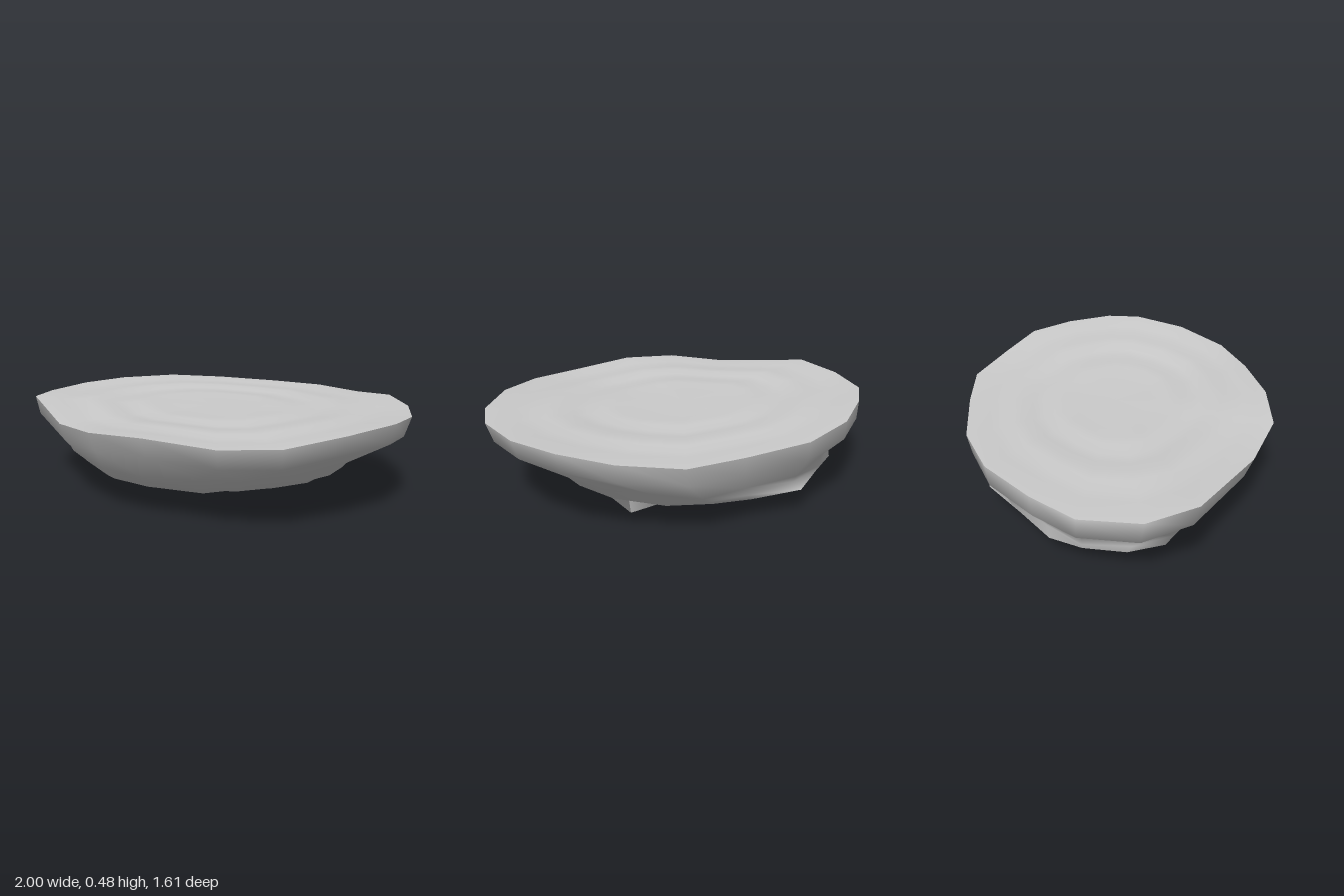
import * as THREE from 'three';
import { toCreasedNormals } from 'three/addons/utils/BufferGeometryUtils.js';

// Irregular rim outline: x, height, z, running round from the back
const RIM = [
  [0.18, 0.43, -0.81], [0.47, 0.44, -0.72], [0.71, 0.47, -0.61], [0.89, 0.47, -0.42], [1, 0.475, -0.19],
  [1, 0.48, 0], [0.9, 0.47, 0.28], [0.73, 0.44, 0.53], [0.49, 0.43, 0.67], [0.16, 0.45, 0.77],
  [-0.13, 0.435, 0.8], [-0.43, 0.41, 0.7], [-0.87, 0.45, 0.47], [-0.99, 0.43, 0.25], [-1, 0.43, -0.03],
  [-0.89, 0.44, -0.25], [-0.7, 0.44, -0.5], [-0.44, 0.43, -0.67], [-0.1, 0.43, -0.76],
].map((p) => new THREE.Vector3(...p));

// Lowest tips of the broken underside
const TIPS = [
  [-0.18, 0, -0.35], [-0.3, 0.01, 0.19], [-0.32, 0.012, 0.12], [-0.06, 0.01, -0.05], [-0.6, 0.03, 0.1],
  [0.36, 0.04, -0.43], [-0.4, 0.08, 0.37], [0.1, 0.04, -0.18], [0.2, 0.04, 0.12],
].map((p) => new THREE.Vector3(...p));

let seed = 7;
function jitter(amount) {
  seed = (seed * 16807) % 2147483647;
  return (seed / 2147483647 - 0.5) * 2 * amount;
}

// Copy of the rim scaled by sx and sz and moved by dx and dz; height(point) gives y
function ring(sx, sz, dx, dz, height, rough = 0) {
  return RIM.map((p) => {
    const r = 1 + jitter(rough);
    return new THREE.Vector3(p.x * sx * r + dx, height(p), p.z * sz * r + dz);
  });
}

// Closed skin through a list of rings
function loft(rows) {
  const n = RIM.length, index = [];
  for (let r = 0; r < rows.length - 1; r++) {
    for (let i = 0; i < n; i++) {
      const j = (i + 1) % n, a = r * n, b = a + n;
      index.push(a + i, a + j, b + i, a + j, b + j, b + i);
    }
  }
  const geometry = new THREE.BufferGeometry().setFromPoints(rows.flat());
  geometry.setIndex(index);
  geometry.computeVertexNormals();
  return geometry;
}

export function createModel() {
  const group = new THREE.Group();
  const material = new THREE.MeshStandardMaterial({ color: 0xcccccc, side: THREE.DoubleSide });
  const add = (name, geometry) => {
    const mesh = new THREE.Mesh(geometry, material);
    mesh.name = name;
    group.add(mesh);
  };

  // Nearly flat top with faint ripples towards the rim
  const topRows = [];
  for (let k = 0; k <= 14; k++) {
    const t = k / 14, s = Math.max(t, 0.001);
    const ripple = 0.007 * Math.sin(t * 21) * THREE.MathUtils.smoothstep(t, 0.25, 0.5) * Math.sin(Math.PI * t);
    topRows.push(ring(s, s, 0, 0, (p) => THREE.MathUtils.lerp(0.43, p.y, t * t) + ripple));
  }
  add('topSurface', loft(topRows));

  // Sloping side from the rim down to the ragged lower edge
  const lowerEdge = ring(0.71, 0.73, -0.125, -0.02, () => 0.13 + jitter(0.012), 0.02);
  lowerEdge[17].set(-0.45, 0.14, -0.58);
  lowerEdge[13].x = -0.84;
  add('sideWall', loft([
    RIM,
    ring(0.985, 0.955, -0.01, -0.005, (p) => p.y - 0.1, 0.008),
    ring(0.78, 0.86, -0.065, -0.01, () => 0.23 + jitter(0.01), 0.01),
    ring(0.76, 0.8, -0.085, -0.015, () => 0.175 + jitter(0.01), 0.012),
    lowerEdge,
  ]));

  // Broken, terraced underside
  const under = [[0.62, 0.115], [0.54, 0.085], [0.46, 0.115], [0.37, 0.075], [0.27, 0.11], [0.17, 0.07], [0.08, 0.1]]
    .map(([s, y]) => ring(s, s, -0.17 * s, -0.04, () => y + jitter(0.02), 0.06));
  const points = under.flat();
  for (const tip of TIPS) {
    const flat = (p) => Math.hypot(p.x - tip.x, p.z - tip.z);
    points.reduce((a, b) => (flat(b) < flat(a) ? b : a)).copy(tip);
  }
  add('brokenUnderside', toCreasedNormals(
    loft([lowerEdge, ...under, ring(0.001, 0.001, 0, -0.04, () => 0.085)]), 1.1));

  return group;
}
